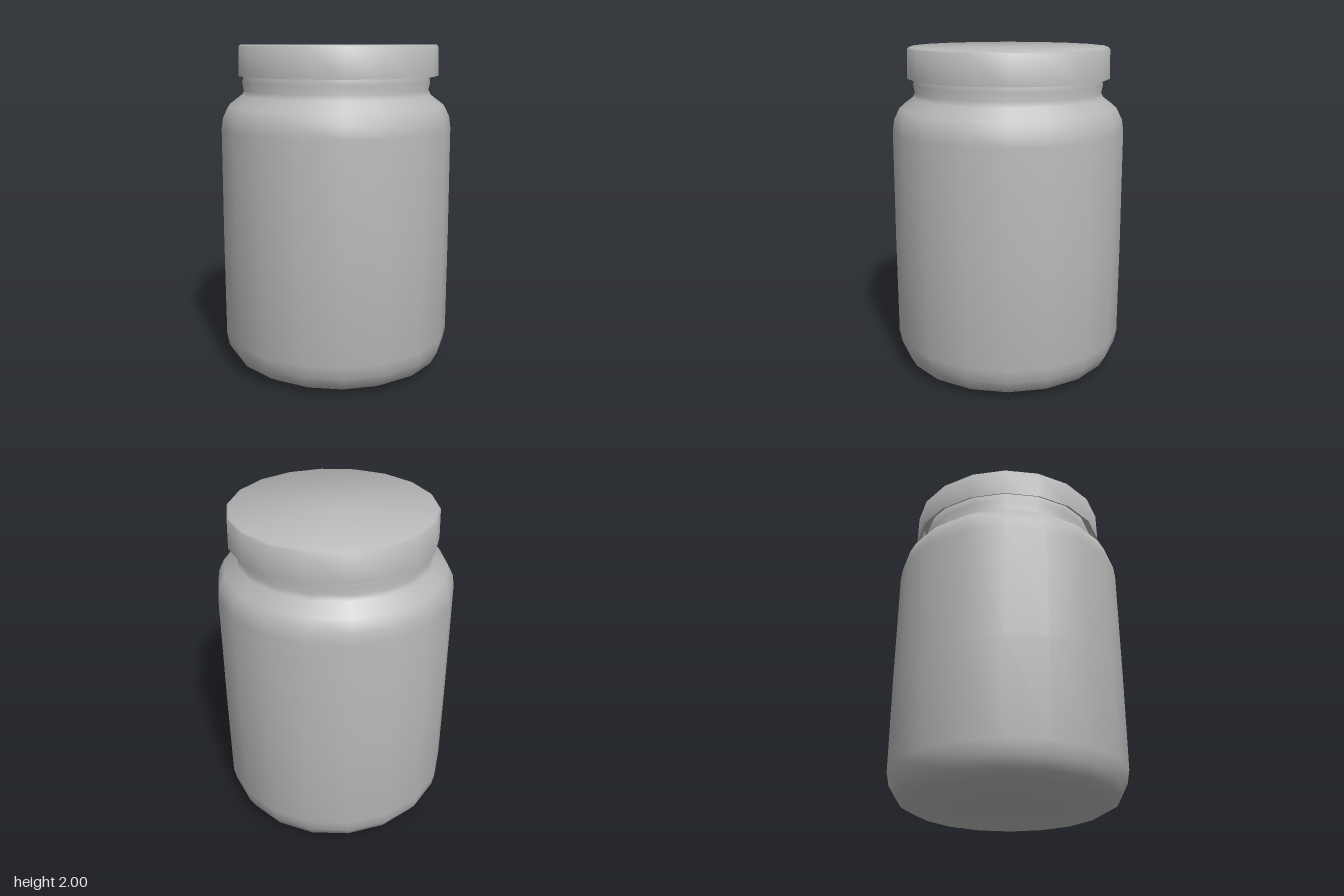
import * as THREE from 'three';
import { toCreasedNormals } from 'three/addons/utils/BufferGeometryUtils.js';

const SIDES = 18;

// Turned part from a [radius, height] profile, with sharp corners above the crease angle
function turned(name, profile, crease, material) {
  const points = profile.map(([r, y]) => new THREE.Vector2(r, y));
  const geometry = toCreasedNormals(new THREE.LatheGeometry(points, SIDES).toNonIndexed(), crease);
  const mesh = new THREE.Mesh(geometry, material);
  mesh.name = name;
  return mesh;
}

export function createModel() {
  const group = new THREE.Group();
  group.name = 'jar';
  const grey = new THREE.MeshStandardMaterial({ color: 0xb8b8b8 });
  grey.name = 'plain grey';

  // Jar body: flat base, rounded foot, straight wall, shoulder and beaded neck
  const body = turned('jarBody', [
    [0, 0.01], [0.59, 0.01], [0.66, 0.05], [0.7, 0.12], [0.715, 0.2],
    [0.715, 0.8], [0.71, 1.5], [0.7, 1.57], [0.665, 1.64], [0.585, 1.7],
    [0.57, 1.73], [0.58, 1.78], [0.565, 1.83], [0.54, 1.9], [0, 1.9],
  ], 1.0, grey);
  // A slightly uneven foot that touches the ground at one side
  const p = body.geometry.attributes.position;
  for (let i = 0; i < p.count; i++) {
    if (p.getY(i) < 0.06) p.setY(i, p.getY(i) - 0.014 * p.getX(i));
  }
  group.add(body);

  // Lid: hollow cap with a flat top and a hanging skirt
  const lid = turned('lid', [
    [0, 1.96], [0.585, 1.96], [0.59, 1.83], [0.615, 1.815],
    [0.61, 1.99], [0.6, 2], [0, 2],
  ], 0.9, grey);
  lid.position.set(0.012, 0, -0.006);
  group.add(lid);

  return group;
}
